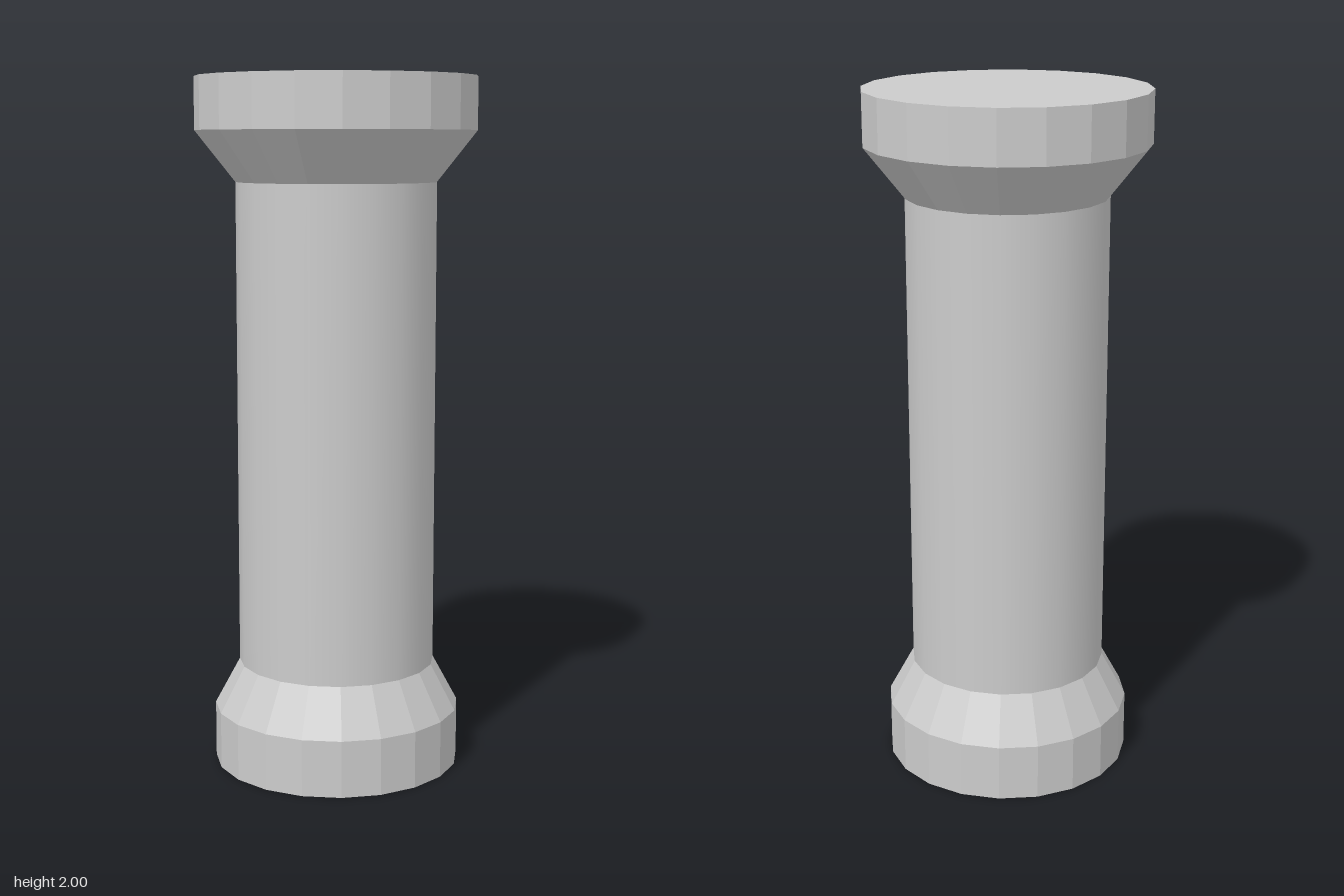
import * as THREE from 'three';

const SIDES = 20;
const faceted = new THREE.MeshStandardMaterial({ color: 0xcccccc, flatShading: true });
const smooth = new THREE.MeshStandardMaterial({ color: 0xcccccc });

export function createModel() {
  const column = new THREE.Group();
  column.name = 'column';

  // One round section between heights y0 and y1, with radii r0 and r1
  function section(name, y0, y1, r0, r1, material, open) {
    const geometry = new THREE.CylinderGeometry(r1, r0, y1 - y0, SIDES, 1, open);
    const mesh = new THREE.Mesh(geometry, material);
    mesh.name = name;
    mesh.position.y = (y0 + y1) / 2;
    column.add(mesh);
  }

  // Base: drum and the slope up to the shaft
  section('baseDrum', 0, 0.165, 0.361, 0.361, faceted, false);
  section('baseSlope', 0.165, 0.3, 0.361, 0.288, faceted, true);

  // Smooth shaft
  section('shaft', 0.3, 1.705, 0.288, 0.288, smooth, true);

  // Capital: flare out to the top drum
  section('capitalFlare', 1.705, 1.85, 0.288, 0.403, faceted, true);
  section('capitalDrum', 1.85, 2, 0.403, 0.403, faceted, false);

  return column;
}
